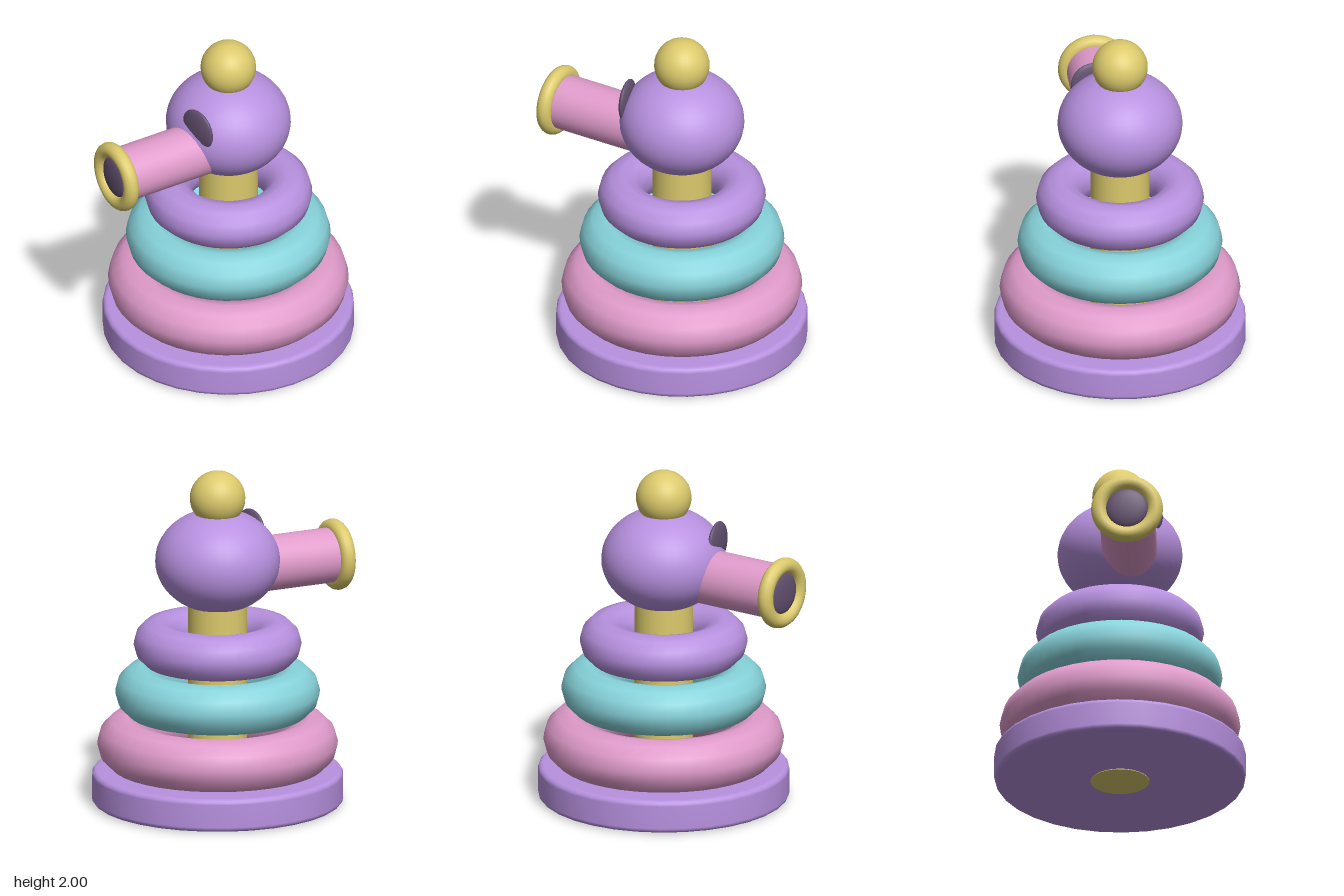
import * as THREE from 'three';

const paint = (name, color) => {
  const m = new THREE.MeshStandardMaterial({ color });
  m.name = name;
  return m;
};

export function createModel() {
  const purple = paint('lilac', 0xb891e0);
  const pink = paint('pink', 0xe09bcb);
  const teal = paint('teal', 0x87d3db);
  const yellow = paint('yellow', 0xdcca6c);
  const dark = paint('dark plum', 0x62506f);

  const model = new THREE.Group();
  model.name = 'stackingRingToy';
  const add = (parent, name, geometry, material, x = 0, y = 0, z = 0) => {
    const mesh = new THREE.Mesh(geometry, material);
    mesh.name = name;
    mesh.position.set(x, y, z);
    parent.add(mesh);
    return mesh;
  };

  // Everything stacked shares one upright axis, set back a little
  const stack = new THREE.Group();
  stack.name = 'stack';
  stack.position.z = -0.073;
  model.add(stack);

  // Round base with softened rims
  const R = 0.737, low = 0.004, high = 0.2, bevel = 0.03;
  const profile = [new THREE.Vector2(0, low), new THREE.Vector2(R - bevel - 0.01, low)];
  for (const [cy, start] of [[low + bevel, -Math.PI / 2], [high - bevel, 0]]) {
    for (let i = 0; i <= 4; i++) {
      const a = start + (i / 4) * Math.PI / 2;
      profile.push(new THREE.Vector2(R - bevel + bevel * Math.cos(a), cy + bevel * Math.sin(a)));
    }
  }
  profile.push(new THREE.Vector2(R - bevel - 0.01, high), new THREE.Vector2(0, high));
  add(stack, 'base', new THREE.LatheGeometry(profile, 32), purple);

  // Centre pole
  add(stack, 'pole', new THREE.CylinderGeometry(0.173, 0.173, 1.3, 24), yellow, 0, 0.65, 0);

  // Stacked rings: [name, outer radius, tube radius, centre height, colour]
  const rings = [
    ['bottomRing', 0.705, 0.16, 0.36, pink],
    ['middleRing', 0.6, 0.152, 0.67, teal],
    ['topRing', 0.492, 0.14, 0.96, purple],
  ];
  for (const [name, outer, tube, y, material] of rings) {
    const geometry = new THREE.TorusGeometry(outer - tube, tube, 12, 40).rotateX(Math.PI / 2);
    add(stack, name, geometry, material, 0, y, 0);
  }

  // Flattened head and ball on top
  add(stack, 'head', new THREE.SphereGeometry(1, 40, 28).scale(0.366, 0.305, 0.366), purple, 0, 1.46, 0);
  add(stack, 'topBall', new THREE.SphereGeometry(0.163, 32, 20), yellow, 0, 1.837, 0);

  // Thin oval eye half sunk in the head
  const lens = () => new THREE.SphereGeometry(1, 32, 16).scale(0.125, 0.125, 0.03);
  add(model, 'eye', lens(), dark, 0.075, 1.58, 0.24);

  // Snout, turned slightly to the side, with a rim and dark opening
  const snout = new THREE.Group();
  snout.name = 'snout';
  snout.position.set(-0.1, 1.385, 0.73);
  snout.rotation.y = -0.2;
  model.add(snout);
  add(snout, 'snoutTube', new THREE.CylinderGeometry(0.163, 0.163, 0.65, 32).rotateX(Math.PI / 2), pink, 0, 0, -0.325);
  add(snout, 'snoutRim', new THREE.TorusGeometry(0.165, 0.046, 14, 36), yellow);
  add(snout, 'snoutOpening', lens(), dark, 0, 0, 0.008);

  return model;
}
